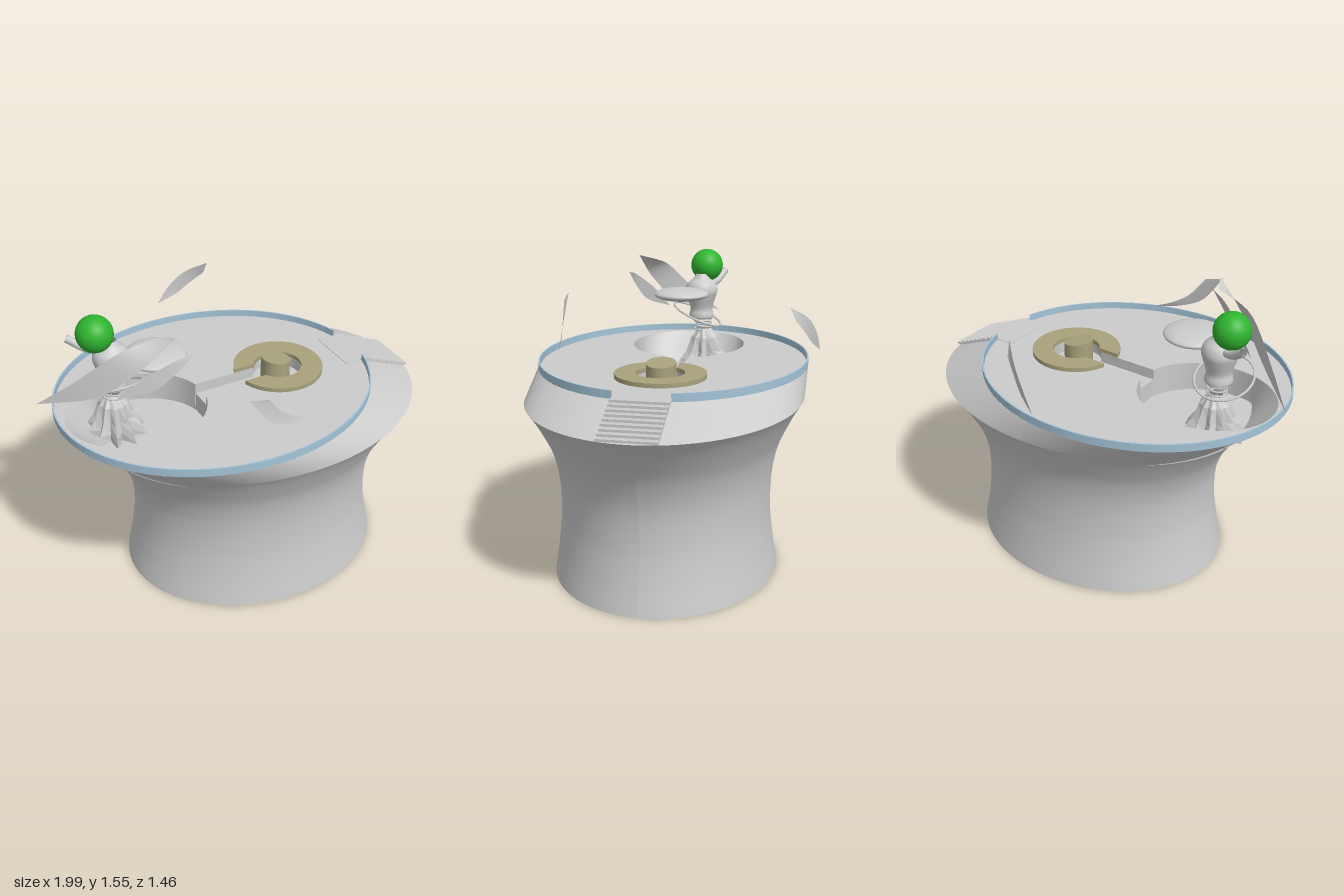
import * as THREE from 'three';

const CZ = 0.03, TOP = 1.035, FLOOR = 0.88;
const V = (x, y, z) => new THREE.Vector3(x, y, z);
const mat = (color) => new THREE.MeshStandardMaterial({ color, side: THREE.DoubleSide });
const grey = mat(0xcccccc), blue = mat(0xa4c4d8), tan = mat(0xa8a27c), green = mat(0x2fb52f);

function add(group, name, geo, material = grey, x = 0, y = 0, z = 0) {
  const mesh = new THREE.Mesh(geo, material);
  mesh.name = name;
  mesh.position.set(x, y, z);
  group.add(mesh);
  return mesh;
}

// Surface through rows of points (each row has the same length)
function skin(rows) {
  const n = rows[0].length, pos = [], idx = [];
  rows.forEach((row) => row.forEach((p) => pos.push(p.x, p.y, p.z)));
  for (let i = 0; i < rows.length - 1; i++)
    for (let j = 0; j < n - 1; j++) {
      const a = i * n + j, b = a + n;
      idx.push(a, b, a + 1, b, b + 1, a + 1);
    }
  const g = new THREE.BufferGeometry();
  g.setAttribute('position', new THREE.Float32BufferAttribute(pos, 3));
  g.setIndex(idx);
  g.computeVertexNormals();
  return g;
}

// Elliptical row of points, running from angle a0 to a1
function ellipse(y, cx, rx, rz, a0 = 0, a1 = Math.PI * 2, n = 72) {
  return Array.from({ length: n + 1 }, (_, i) => {
    const a = a1 + (a0 - a1) * (i / n);
    return V(cx + rx * Math.cos(a), y, CZ + rz * Math.sin(a));
  });
}

// Curved blade between two edge curves
function blade(edgeA, edgeB) {
  const a = new THREE.CatmullRomCurve3(edgeA.map((p) => V(...p))).getPoints(16);
  const b = new THREE.CatmullRomCurve3(edgeB.map((p) => V(...p))).getPoints(16);
  return skin([a, a.map((p, i) => p.clone().lerp(b[i], 0.5)), b]);
}

// Outline of the pool, channel and round well, as one opening
function openingPoints() {
  const pts = [], half = 0.06;
  const arc = (cx, rx, rz, start, end, n) => {
    for (let i = 0; i <= n; i++) {
      const a = start + (end - start) * i / n;
      pts.push([cx + rx * Math.cos(a), CZ + rz * Math.sin(a)]);
    }
  };
  const p = Math.asin(half / 0.31), w = Math.asin(half / 0.125);
  arc(-0.535, 0.355, 0.31, p, Math.PI * 2 - p, 48);
  const poolCount = pts.length;
  arc(0.255, 0.125, 0.125, Math.PI + w, Math.PI * 3 - w, 32);
  return { pts, poolCount };
}

function buildBase(g) {
  // Flared hollow body
  const profile = new THREE.CatmullRomCurve3([
    [0, 0.705, 0.58], [0.16, 0.672, 0.555], [0.33, 0.652, 0.54], [0.52, 0.662, 0.547],
    [0.67, 0.712, 0.578], [0.79, 0.785, 0.63], [0.87, 0.845, 0.672], [0.915, 0.887, 0.7],
  ].map((p) => V(...p)));
  add(g, 'body', skin(profile.getPoints(36).map((p) => ellipse(p.x, 0.106, p.y, p.z))));

  // Slanted lip, shifted sideways towards the top
  add(g, 'lip', skin([ellipse(0.915, 0.106, 0.887, 0.7), ellipse(1.03, -0.11, 0.82, 0.7)]));

  // Rim with a gap at the stairs
  const gap = Math.asin(0.2), end = Math.PI * 2 - gap;
  const rim = (y, d) => ellipse(y, -0.11, 0.82 - d, 0.7 - d, gap, end);
  add(g, 'rim', skin([rim(1.03, 0), rim(1.07, 0), rim(1.07, 0.008), rim(1.03, 0.008)]).toNonIndexed(), blue)
    .geometry.computeVertexNormals();

  // Top deck with the opening
  const { pts, poolCount } = openingPoints();
  const deck = new THREE.Shape().absellipse(-0.11, CZ, 0.82, 0.7, 0, Math.PI * 2);
  deck.holes.push(new THREE.Path(pts.map(([x, z]) => new THREE.Vector2(x, z))));
  add(g, 'deck', new THREE.ShapeGeometry(deck, 40).rotateX(Math.PI / 2), grey, 0, TOP, 0);

  // Pool wall, its foot kept inside the body
  const pool = pts.slice(0, poolCount);
  const foot = pool.map(([x, z]) => {
    const u = x - 0.106, v = z - CZ;
    const k = Math.min(1, 0.975 / Math.hypot(u / 0.85, v / 0.672));
    return V(0.106 + u * k, FLOOR, CZ + v * k);
  });
  add(g, 'poolWall', skin([pool.map(([x, z]) => V(x, TOP, z)), foot]));
  add(g, 'poolFloor', new THREE.CylinderGeometry(1, 1, 0.016, 72).scale(0.825, 1, 0.655), grey, 0.082, FLOOR - 0.008, CZ);

  // Channel and well
  const canal = [pts[poolCount - 1], ...pts.slice(poolCount), pts[0]];
  add(g, 'channelWall', skin([TOP, 0.98].map((y) => canal.map(([x, z]) => V(x, y, z)))));
  add(g, 'channelFloor', new THREE.BoxGeometry(0.36, 0.1, 0.12), grey, -0.005, 0.93, CZ);
  add(g, 'wellFloor', new THREE.CylinderGeometry(0.125, 0.125, 0.1, 36), grey, 0.255, 0.93, CZ);

  // Stairs on the long side of the lip
  for (let i = 0; i < 9; i++) {
    const x1 = 0.735 + i * 0.0315, y = 1.032 - i * 0.0133;
    add(g, 'stair', new THREE.BoxGeometry(0.14, 0.012, 0.28), grey, x1 - 0.07, y, CZ);
  }

  // Open collar around the well, and its knob with a sloping top
  const w = Math.asin(0.06 / 0.12), o = Math.asin(0.06 / 0.23);
  const collar = new THREE.Shape();
  collar.absarc(0, 0, 0.23, Math.PI + o, Math.PI * 3 - o, false);
  collar.absarc(0, 0, 0.122, Math.PI * 3 - w, Math.PI + w, true);
  add(g, 'collar', new THREE.ExtrudeGeometry(collar, { depth: 0.025, bevelEnabled: false, curveSegments: 40 })
    .rotateX(Math.PI / 2), tan, 0.26, 1.057, CZ);
  const knob = new THREE.CylinderGeometry(0.075, 0.075, 0.13, 32);
  const kp = knob.attributes.position;
  for (let i = 0; i < kp.count; i++) if (kp.getY(i) > 0) kp.setY(i, 0.065 - kp.getX(i) * 0.17);
  knob.computeVertexNormals();
  add(g, 'knob', knob, tan, 0.245, 1.037, CZ);
}

function buildFigure(g) {
  const x = -0.625, z = -0.045;
  // Pleated star skirt
  const rows = [[0.885, 0.125, 0.035], [0.93, 0.115, 0.025], [0.98, 0.09, 0.014], [1.06, 0.07, 0.006], [1.11, 0.035, 0]];
  const skirt = skin(rows.map(([y, r, d]) => Array.from({ length: 21 }, (_, i) => {
    const a = -i / 20 * Math.PI * 2, R = r + (i % 2 ? -d : d);
    return V(R * Math.cos(a), y, R * Math.sin(a));
  }))).toNonIndexed();
  skirt.computeVertexNormals();
  add(g, 'skirt', skirt, grey, x, 0, z);

  // Coil between skirt and torso
  const coil = Array.from({ length: 49 }, (_, i) => {
    const a = i / 48 * Math.PI * 6;
    return V(0.048 * Math.cos(a), 1.1 + 0.07 * i / 48, 0.048 * Math.sin(a));
  });
  add(g, 'coil', new THREE.TubeGeometry(new THREE.CatmullRomCurve3(coil), 96, 0.005, 6), grey, x, 0, z + 0.01);

  // Tilted hoop
  add(g, 'hoop', new THREE.TorusGeometry(0.145, 0.006, 8, 40).rotateX(Math.PI / 2 - 0.42), grey, -0.64, 1.185, 0);

  // Torso and head
  const torso = new THREE.SplineCurve([[0.002, 1.165], [0.062, 1.168], [0.068, 1.19], [0.062, 1.225], [0.08, 1.285],
    [0.09, 1.325], [0.078, 1.365], [0.045, 1.395], [0.03, 1.42]].map((p) => new THREE.Vector2(...p)));
  add(g, 'torso', new THREE.LatheGeometry(torso.getPoints(32), 32), grey, x, 0, z + 0.02);
  add(g, 'head', new THREE.SphereGeometry(0.09, 32, 20), green, -0.69, 1.46, -0.045);

  // Round tray held out in front, and the small raised arm behind
  add(g, 'tray', new THREE.SphereGeometry(1, 36, 16).scale(0.15, 0.034, 0.15), grey, -0.435, 1.33, 0.055);
  const arm = new THREE.CatmullRomCurve3([V(-0.66, 1.35, -0.06), V(-0.73, 1.37, -0.1), V(-0.8, 1.42, -0.135)]);
  add(g, 'raisedArm', new THREE.TubeGeometry(arm, 12, 0.02, 10), grey);
}

function buildBlades(g) {
  const blades = {
    largeBlade: [[[-1, 1.15, -0.07], [-0.84, 1.3, 0.06], [-0.66, 1.46, 0.17], [-0.47, 1.515, 0.205]],
      [[-1, 1.15, -0.07], [-0.76, 1.24, 0.14], [-0.58, 1.4, 0.25], [-0.43, 1.54, 0.29]]],
    smallBlade: [[[-0.69, 1.22, 0.17], [-0.58, 1.33, 0.23], [-0.46, 1.415, 0.29], [-0.38, 1.45, 0.315]],
      [[-0.69, 1.22, 0.17], [-0.54, 1.28, 0.27], [-0.44, 1.37, 0.31], [-0.36, 1.455, 0.33]]],
    frontBlade: [[[0.15, 1.11, 0.585], [0, 1.14, 0.62], [-0.13, 1.2, 0.645], [-0.25, 1.355, 0.645]],
      [[0.15, 1.11, 0.585], [0.03, 1.16, 0.605], [-0.06, 1.22, 0.625], [-0.15, 1.33, 0.64]]],
    backBlade: [[[-0.07, 1.13, -0.73], [-0.01, 1.225, -0.715], [0.07, 1.315, -0.675], [0.17, 1.385, -0.59]],
      [[-0.07, 1.13, -0.73], [0.03, 1.19, -0.69], [0.09, 1.25, -0.66], [0.16, 1.315, -0.62]]],
  };
  for (const [name, [a, b]] of Object.entries(blades)) add(g, name, blade(a, b));
}

export function createModel() {
  const model = new THREE.Group();
  model.name = 'pedestalScene';
  for (const [name, build] of [['base', buildBase], ['figure', buildFigure], ['blades', buildBlades]]) {
    const part = new THREE.Group();
    part.name = name;
    build(part);
    model.add(part);
  }
  return model;
}
